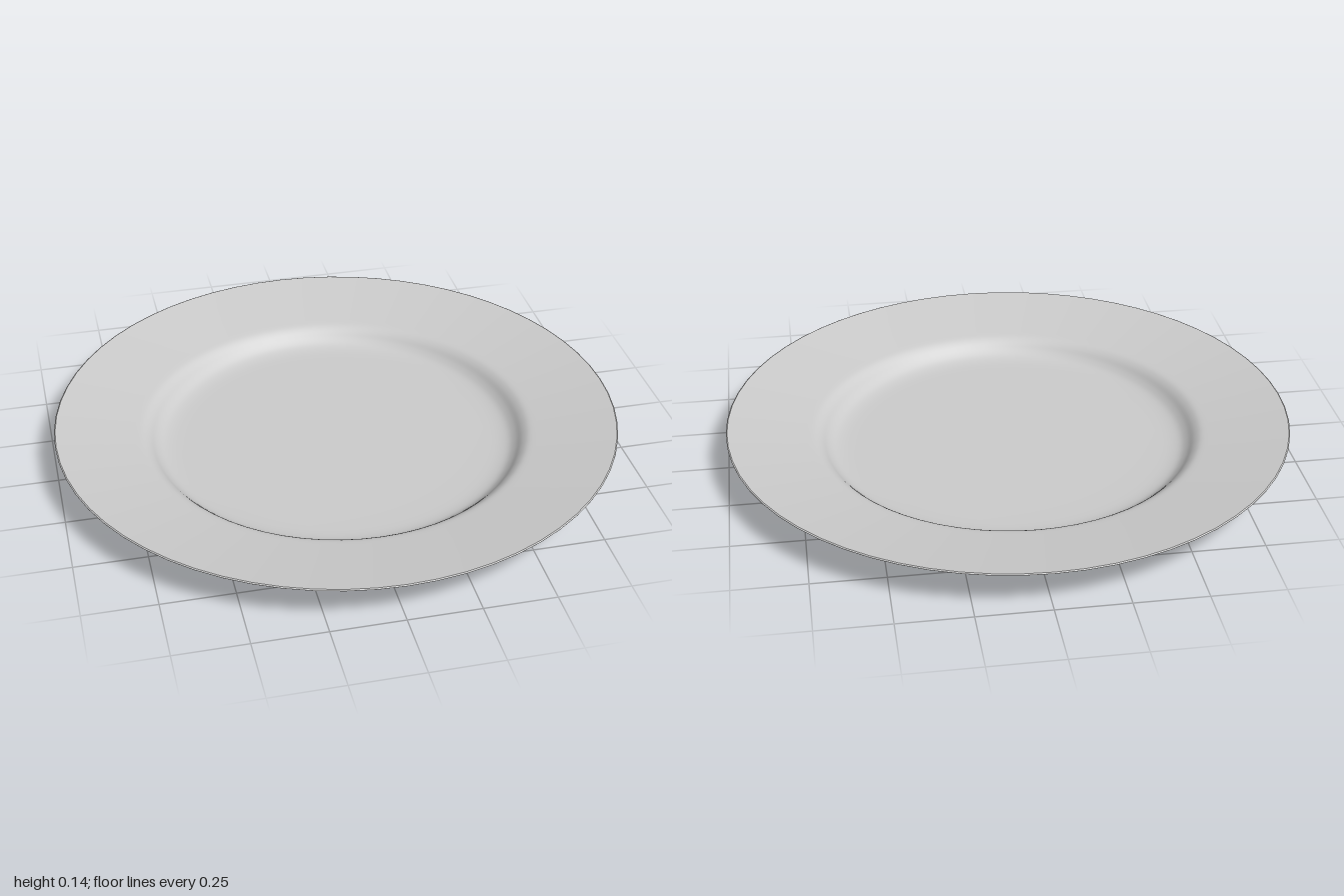
import * as THREE from 'three';

const SEGMENTS = 64;

// Smooth run through a few [radius, height] points
function smoothRun(points, steps) {
  return new THREE.SplineCurve(points.map(([r, y]) => new THREE.Vector2(r, y))).getPoints(steps);
}

function lathePart(name, points, material) {
  const mesh = new THREE.Mesh(new THREE.LatheGeometry(points, SEGMENTS), material);
  mesh.name = name;
  return mesh;
}

export function createModel() {
  const plate = new THREE.Group();
  plate.name = 'plate';
  const glaze = new THREE.MeshStandardMaterial({ color: 0xcccccc });
  glaze.name = 'pale grey glaze';
  const v = (r, y) => new THREE.Vector2(r, y);

  // Recessed base and shallow foot ring
  plate.add(lathePart('footRing', [
    v(0, 0.016), v(0.44, 0.016), v(0.466, 0.015), v(0.478, 0.01), v(0.485, 0.002),
    v(0.488, 0), v(0.5, 0), v(0.504, 0.002), v(0.508, 0.012), v(0.518, 0.017),
  ], glaze));

  // Underside: flat shoulder, curved wall, sloping rim
  plate.add(lathePart('underside', [
    ...smoothRun([[0.518, 0.017], [0.56, 0.017], [0.6, 0.021], [0.635, 0.035],
      [0.665, 0.06], [0.695, 0.08], [0.73, 0.089]], 24),
    v(0.85, 0.11), v(0.99, 0.134), v(1, 0.137),
  ], glaze));

  // Thin rounded lip
  plate.add(lathePart('lip', [v(1, 0.137), v(1, 0.139), v(0.996, 0.141)], glaze));

  // Upper face: rim sloping inward, curved wall, flat well
  plate.add(lathePart('upperFace', [
    v(0.996, 0.141), v(0.85, 0.119),
    ...smoothRun([[0.72, 0.1], [0.69, 0.094], [0.667, 0.08], [0.645, 0.058],
      [0.62, 0.042], [0.585, 0.035], [0.54, 0.033]], 24),
    v(0.4, 0.032), v(0, 0.032),
  ], glaze));

  return plate;
}
